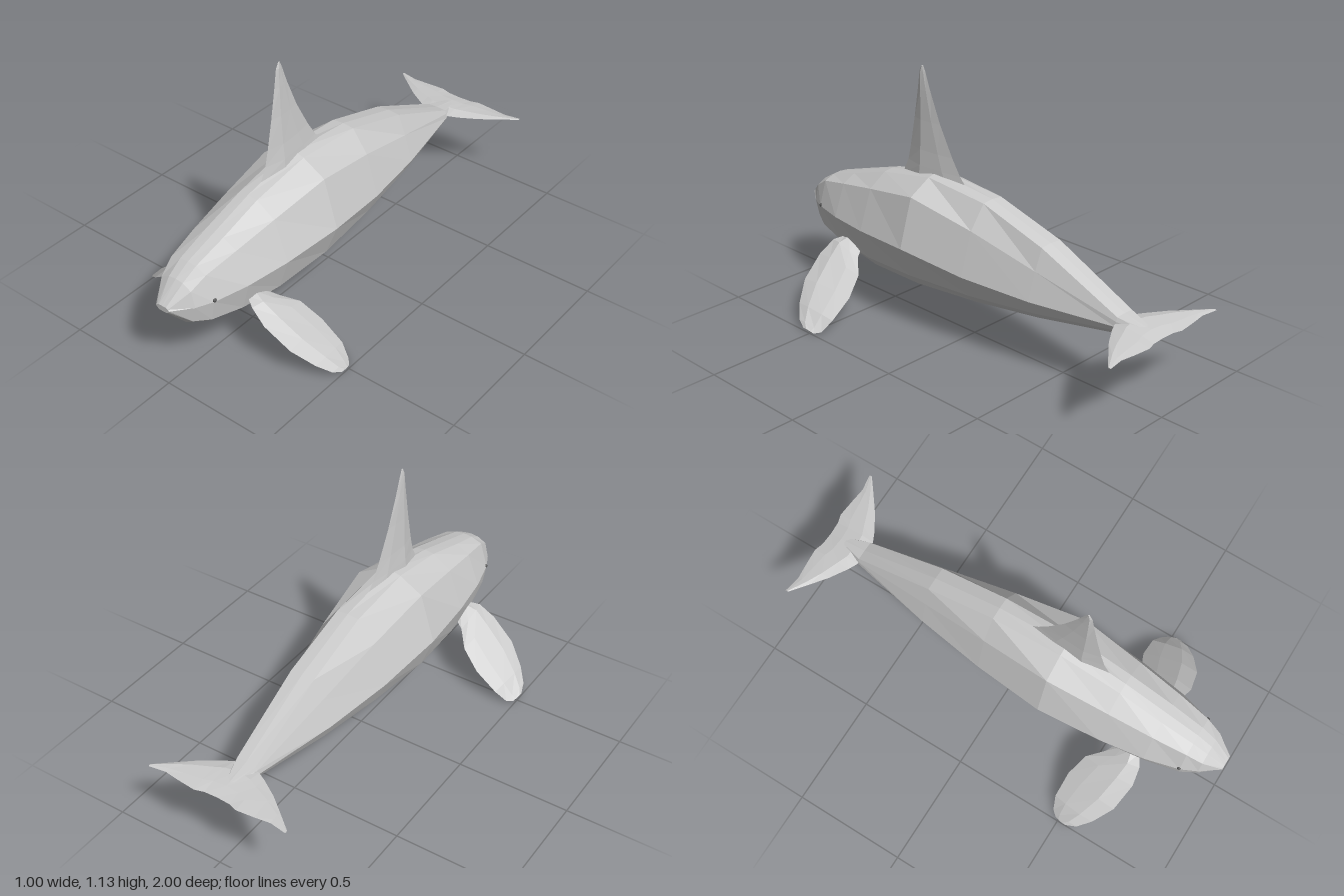
import * as THREE from 'three';

const V = (x, y, z) => new THREE.Vector3(x, y, z);

// Faceted skin over a row of closed rings, capped at both ends and facing outward
function loft(rings) {
  const tris = [];
  const n = rings[0].length;
  for (let i = 0; i < rings.length - 1; i++) {
    const a = rings[i], b = rings[i + 1];
    for (let j = 0; j < n; j++) {
      const k = (j + 1) % n;
      tris.push([a[j], b[j], b[k]], [a[j], b[k], a[k]]);
    }
  }
  const first = rings[0], last = rings[rings.length - 1];
  for (let j = 1; j < n - 1; j++) {
    tris.push([first[0], first[j], first[j + 1]], [last[0], last[j + 1], last[j]]);
  }
  // A negative enclosed volume means the triangles are inside out
  const cross = V(0, 0, 0);
  let volume = 0;
  for (const [a, b, c] of tris) volume += a.dot(cross.crossVectors(b, c));
  const points = tris.flatMap(([a, b, c]) => (volume < 0 ? [a, c, b] : [a, b, c]));
  const geometry = new THREE.BufferGeometry().setFromPoints(points);
  geometry.computeVertexNormals();
  return geometry;
}

// Lens-shaped fin section between a leading and a trailing point
function finRing(lead, trail, normal, thick) {
  const at = (t, h) => lead.clone().lerp(trail, t).addScaledVector(normal, h * thick);
  return [lead, at(0.3, 1), at(0.7, 0.65), trail, at(0.7, -0.65), at(0.3, -1)];
}

export function createModel() {
  const group = new THREE.Group();
  const skin = new THREE.MeshStandardMaterial({ color: 0xcccccc });
  skin.name = 'pale grey skin';
  const dark = new THREE.MeshStandardMaterial({ color: 0x555555 });
  dark.name = 'dark grey eye';
  const add = (name, geometry, material = skin) => {
    const mesh = new THREE.Mesh(geometry, material);
    mesh.name = name;
    group.add(mesh);
    return mesh;
  };

  // Body: z, top y, then x,y of back edge, shoulder, flank, lower side, belly edge, and belly y
  const sections = [
    [1.0, 0.4, [0.018, 0.4, 0.028, 0.396, 0.034, 0.39, 0.028, 0.382, 0.018, 0.376], 0.375],
    [0.92, 0.48, [0.035, 0.476, 0.075, 0.455, 0.092, 0.385, 0.075, 0.31, 0.04, 0.287], 0.285],
    [0.85, 0.52, [0.04, 0.516, 0.09, 0.497, 0.125, 0.385, 0.108, 0.29, 0.07, 0.262], 0.26],
    [0.7, 0.567, [0.045, 0.562, 0.11, 0.53, 0.165, 0.387, 0.135, 0.265, 0.09, 0.235], 0.23],
    [0.5, 0.63, [0.045, 0.624, 0.13, 0.568, 0.195, 0.39, 0.152, 0.25, 0.11, 0.203], 0.195],
    [0.22, 0.687, [0.05, 0.675, 0.155, 0.615, 0.22, 0.4, 0.166, 0.26, 0.12, 0.208], 0.203],
    [-0.1, 0.655, [0.052, 0.65, 0.125, 0.55, 0.182, 0.362, 0.137, 0.265, 0.1, 0.226], 0.222],
    [-0.42, 0.56, [0.055, 0.555, 0.092, 0.465, 0.13, 0.345, 0.1, 0.285, 0.075, 0.258], 0.253],
    [-0.8, 0.385, [0.045, 0.383, 0.052, 0.366, 0.055, 0.345, 0.045, 0.325, 0.03, 0.307], 0.305],
    [-0.92, 0.36, [0.012, 0.359, 0.018, 0.352, 0.02, 0.346, 0.018, 0.34, 0.012, 0.336], 0.335],
  ];
  add('body', loft(sections.map(([z, top, side, bottom]) => {
    const left = [], right = [];
    for (let i = 0; i < side.length; i += 2) {
      left.push(V(side[i], side[i + 1], z));
      right.unshift(V(-side[i], side[i + 1], z));
    }
    return [V(0, top, z), ...left, V(0, bottom, z), ...right];
  })));

  // Dorsal fin: y, leading z, trailing z, half thickness
  add('dorsalFin', loft([
    [0.63, 0.43, 0.02, 0.028],
    [0.7, 0.395, 0.085, 0.023],
    [0.77, 0.378, 0.13, 0.017],
    [0.9, 0.352, 0.2, 0.011],
    [1.03, 0.33, 0.255, 0.008],
    [1.11, 0.318, 0.284, 0.006],
    [1.135, 0.305, 0.295, 0.003],
  ].map(([y, lead, trail, t]) => finRing(V(0, y, lead), V(0, y, trail), V(1, 0, 0), t))));

  // Tail fluke, from tip to tip: x, leading z, trailing z, leading y, trailing y, half thickness
  const fluke = [
    [0, -0.79, -0.985, 0.36, 0.345, 0.016],
    [0.06, -0.8, -0.988, 0.358, 0.345, 0.014],
    [0.1, -0.82, -1.0, 0.356, 0.345, 0.012],
    [0.18, -0.87, -0.993, 0.354, 0.346, 0.009],
    [0.25, -0.925, -0.985, 0.352, 0.348, 0.006],
    [0.325, -0.985, -0.998, 0.35, 0.349, 0.002],
  ];
  const otherHalf = fluke.slice(1).reverse().map(([x, ...rest]) => [-x, ...rest]);
  add('tailFluke', loft([...otherHalf, ...fluke].map(([x, zl, zt, yl, yt, t]) =>
    finRing(V(x, yl, zl), V(x, yt, zt), V(0, 1, 0), t))));

  // Flippers: leading x,y,z, trailing x,y,z, half thickness
  const flipper = [
    [0.13, 0.3, 0.67, 0.13, 0.27, 0.57, 0.02],
    [0.18, 0.285, 0.7, 0.18, 0.245, 0.54, 0.02],
    [0.25, 0.235, 0.712, 0.235, 0.2, 0.475, 0.02],
    [0.36, 0.155, 0.69, 0.32, 0.13, 0.443, 0.018],
    [0.44, 0.085, 0.635, 0.42, 0.06, 0.44, 0.014],
    [0.485, 0.04, 0.585, 0.468, 0.015, 0.46, 0.01],
    [0.5, 0.02, 0.54, 0.49, 0.008, 0.485, 0.005],
  ];
  for (const [side, s] of [['left', 1], ['right', -1]]) {
    const normal = V(0.58 * s, 0.78, -0.2).normalize();
    add(side + 'Flipper', loft(flipper.map(([xl, yl, zl, xt, yt, zt, t]) =>
      finRing(V(xl * s, yl, zl), V(xt * s, yt, zt), normal, t))));

    // Eye
    const eye = add(side + 'Eye', new THREE.SphereGeometry(0.009, 8, 6), dark);
    eye.position.set(0.122 * s, 0.39, 0.845);
  }
  return group;
}
